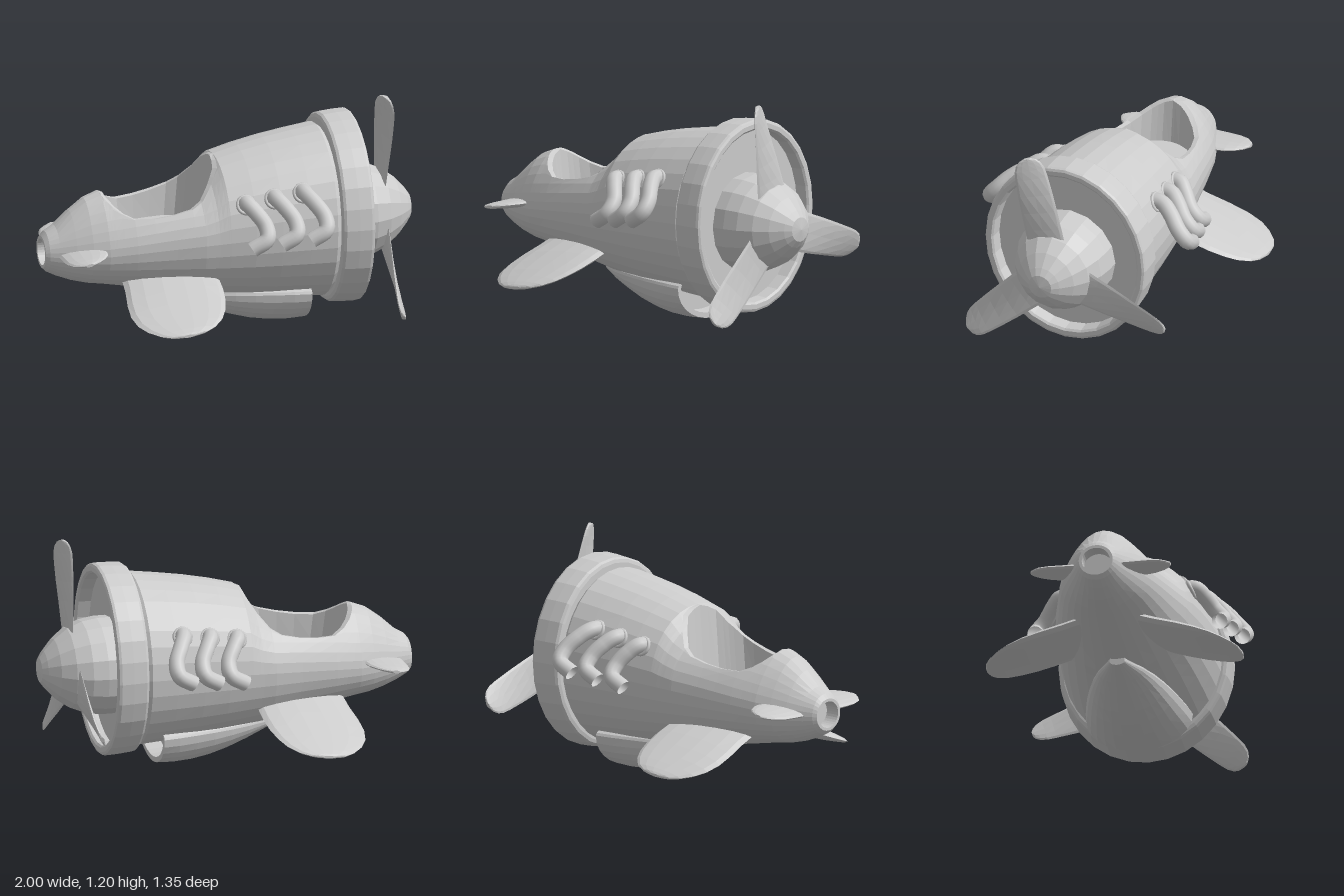
import * as THREE from 'three';

const V = (x, y, z) => new THREE.Vector3(x, y, z);
const flat = new THREE.MeshStandardMaterial({ color: 0xcccccc, flatShading: true, side: THREE.DoubleSide });
const smooth = new THREE.MeshStandardMaterial({ color: 0xcccccc, side: THREE.DoubleSide });

// Linear interpolation in rows of [x, a, b, ...]; returns the remaining columns
function sample(rows, x) {
  let i = 0;
  while (i < rows.length - 2 && x > rows[i + 1][0]) i++;
  const t = THREE.MathUtils.clamp((x - rows[i][0]) / (rows[i + 1][0] - rows[i][0]), 0, 1);
  return rows[i].slice(1).map((v, k) => THREE.MathUtils.lerp(v, rows[i + 1][k + 1], t));
}

// Skin through rings of equal point count, faces turned outward
function loft(rings) {
  const n = rings[0].length, pos = [], index = [];
  rings.forEach(r => r.forEach(p => pos.push(p.x, p.y, p.z)));
  for (let i = 0; i < rings.length - 1; i++) for (let j = 0; j < n - 1; j++) {
    const a = i * n + j, b = a + n;
    index.push(a, b, a + 1, a + 1, b, b + 1);
  }
  const pts = rings.flat();
  const mid = pts.reduce((s, p) => s.add(p), V(0, 0, 0)).divideScalar(pts.length);
  let volume = 0;
  for (let k = 0; k < index.length; k += 3) {
    const [a, b, c] = [0, 1, 2].map(m => pts[index[k + m]].clone().sub(mid));
    volume += a.dot(b.cross(c));
  }
  if (volume < 0) index.reverse();
  const g = new THREE.BufferGeometry();
  g.setAttribute('position', new THREE.Float32BufferAttribute(pos, 3));
  g.setIndex(index);
  g.computeVertexNormals();
  return g;
}

// Ring collapsed to its centre, to close an end
function collapse(ring) {
  const c = ring.reduce((s, p) => s.add(p), V(0, 0, 0)).divideScalar(ring.length);
  return ring.map(() => c.clone());
}
const capped = rings => loft([collapse(rings[0]), ...rings, collapse(rings[rings.length - 1])]);
const around = (n, f) => Array.from({ length: n + 1 }, (_, i) => f(i / n * Math.PI * 2));

function add(parent, name, geometry, material = flat) {
  const m = new THREE.Mesh(geometry, material);
  m.name = name;
  parent.add(m);
  return m;
}

// Lathe turned about the x axis: points are [radius, x]
function turned(points, sides, y, zScale) {
  return new THREE.LatheGeometry(points.map(p => new THREE.Vector2(...p)), sides)
    .rotateZ(-Math.PI / 2).scale(1, 1, zScale).translate(0, y, 0);
}

// Fuselage stations: x, widest height, top, bottom, half width, headrest hump
const HULL = [
  [-1, .465, .55, .38, .09, 0], [-.98, .465, .575, .36, .105, 0], [-.93, .465, .6, .335, .13, .005],
  [-.85, .47, .63, .305, .17, .05], [-.77, .475, .66, .285, .205, .08], [-.69, .48, .685, .275, .235, .085],
  [-.55, .495, .715, .25, .27, .08], [-.35, .515, .775, .215, .312, 0], [-.2, .53, .805, .185, .345, 0],
  [-.13, .535, .853, .174, .355, 0], [-.07, .54, .92, .165, .365, 0], [.06, .55, .955, .147, .385, 0],
  [.2, .56, .985, .13, .4, 0], [.35, .565, 1.01, .12, .412, 0], [.49, .57, 1.03, .11, .42, 0]];
// Height of the cockpit edge along x
const EDGE = [[-.69, .77], [-.682, .752], [-.65, .717], [-.61, .687], [-.55, .662], [-.45, .665], [-.35, .68],
  [-.25, .705], [-.19, .74], [-.13, .81], [-.085, .88], [-.07, .92]];
const COCKPIT_X = [-.69, -.688, -.682, -.668, -.65, -.61, -.55, -.45, -.35, -.25, -.19, -.15, -.13, -.11, -.085,
  -.075, -.07];

function hullPoint(x, a, k = 1) {
  const [cy, top, bottom, rz, hump] = sample(HULL, x), c = Math.cos(a);
  const dy = c > 0 ? (top - cy) * c + hump * c ** 3 : (cy - bottom) * c;
  return V(x, cy + dy * k, rz * Math.sin(a) * k);
}

// Angle from the top at which the hull meets the cockpit edge
function edgeAngle(x) {
  if (x <= -.69 || x >= -.07) return 0;
  const y = sample(EDGE, x)[0];
  let lo = 0, hi = Math.PI / 2;
  for (let i = 0; i < 30; i++) {
    const m = (lo + hi) / 2;
    if (hullPoint(x, m).y > y) lo = m; else hi = m;
  }
  return lo;
}

// Ring open at the top wherever the cockpit is cut out
function hullRing(x, k = 1) {
  const a0 = edgeAngle(x);
  return around(32, t => hullPoint(x, THREE.MathUtils.clamp(t, a0, Math.PI * 2 - a0), k));
}

function fuselage() {
  const xs = [...new Set([...HULL.map(r => r[0]), ...COCKPIT_X])].sort((a, b) => a - b);
  const bore = hullRing(-1, .82), deep = bore.map(p => V(-.92, p.y, p.z));
  const nose = hullRing(.49, .96).map(p => V(.515, p.y, p.z));
  return capped([deep, bore, ...xs.map(x => hullRing(x)), nose]);
}

// Cockpit rim, walls and floor
function cockpit() {
  return loft(COCKPIT_X.map(x => {
    const p = hullPoint(x, edgeAngle(x)), along = k => -.38 + (x + .38) * k, z = Math.max(0, p.z - .022);
    const half = [p, V(along(.94), p.y - .004, z), V(along(.85), .53, z)];
    return [...half, ...half.map(q => V(q.x, q.y, -q.z)).reverse()];
  }));
}

// Lens-section surface reaching sideways; rows: z, rear x, front x, y, half thickness
function fin(rows, side, tilt) {
  return capped(rows.map(([z, rear, front, y, t]) => around(14, a => {
    const c = Math.cos(a), h = (front - rear) / 2;
    return V((front + rear) / 2 + h * c, y + t * Math.sin(a) + tilt * h * c, side * z);
  })));
}
const WING = [[.1, -.6, -.12, .36, .05], [.25, -.615, -.115, .308, .047], [.36, -.635, -.118, .27, .043],
  [.45, -.642, -.13, .238, .037], [.53, -.627, -.155, .21, .03], [.59, -.59, -.188, .189, .024],
  [.64, -.535, -.24, .172, .018], [.665, -.485, -.295, .163, .013], [.675, -.42, -.36, .16, .008]];
const TAIL = [[.08, -.94, -.68, .487, .027], [.2, -.94, -.7, .488, .023], [.27, -.937, -.715, .489, .02],
  [.32, -.92, -.745, .49, .016], [.35, -.89, -.78, .49, .012], [.368, -.86, -.82, .49, .008]];

// Belly scoop; rows: x, bottom, half width
function scoop() {
  const ring = (x, bottom, w) => around(28, a => {
    const c = Math.cos(a);
    return V(x, .195 + c * (c > 0 ? .06 : .195 - bottom), w * Math.sin(a));
  });
  return capped([[-.32, .175, .04], [-.2, .128, .12], [-.1, .086, .165], [0, .048, .2], [.1, .02, .228],
    [.2, .004, .25], [.3, 0, .27], [.39, .006, .282], [.39, .034, .257], [.3, .04, .25]].map(r => ring(...r)));
}

// Propeller blade along y, twisting toward the tip; rows: radius, half chord, twist
function blade() {
  return capped([[.17, .108, 0], [.25, .104, .06], [.35, .099, .15], [.45, .093, .26], [.55, .086, .36],
    [.6, .08, .41], [.635, .066, .43], [.657, .045, .44], [.668, .018, .44]].map(([r, w, tw]) =>
    around(12, a => {
      const z = w * Math.cos(a), x = .011 * Math.sin(a);
      return V(.825 + x * Math.cos(tw) + z * Math.sin(tw), r, z * Math.cos(tw) - x * Math.sin(tw));
    })));
}

export function createModel() {
  const model = new THREE.Group();
  model.name = 'toyPlane';
  add(model, 'fuselage', fuselage());
  add(model, 'cockpit', cockpit());
  add(model, 'bellyScoop', scoop());

  // Engine ring with a recessed front plate
  add(model, 'cowling', turned([[0, .512], [.475, .512], [.493, .517], [.502, .53], [.508, .6], [.51, .665],
    [.505, .678], [.492, .684], [.468, .684], [.457, .675], [.452, .61], [0, .61]], 28, .577, .9));
  add(model, 'spinner', turned([[.258, .58], [.258, .68], [.246, .76], [.213, .84], [.16, .91], [.1, .965],
    [.065, .99], [0, 1]], 16, .545, 1));

  // Three-blade propeller
  const propeller = new THREE.Group();
  propeller.name = 'propeller';
  propeller.position.y = .545;
  for (let i = 0; i < 3; i++) {
    add(propeller, 'blade', blade()).rotation.x = THREE.MathUtils.degToRad(13 + 120 * i);
  }
  model.add(propeller);

  for (const s of [1, -1]) {
    add(model, 'wing', fin(WING, s, .1));
    add(model, 'tailplane', fin(TAIL, s, .15));

    // Exhaust pipes, each with a collar on the hull
    for (let i = 0; i < 3; i++) {
      const pipe = new THREE.Group();
      pipe.name = 'exhaustPipe';
      const path = new THREE.CatmullRomCurve3([[.012, .732, .28], [.018, .742, .355], [.052, .706, .4],
        [.09, .645, .448], [.085, .59, .492], [.005, .538, .487]].map(([x, y, z]) =>
        V(x, y, s * (z + .035 * i * Math.min(1, (z - .28) / .15)))));
      add(pipe, 'tube', new THREE.TubeGeometry(path, 28, .042, 12), smooth);
      const collar = add(pipe, 'collar', new THREE.TorusGeometry(.045, .01, 8, 18), smooth);
      collar.position.set(.014, .735, s * (.335 + .012 * i));
      collar.rotation.x = -s * .4;
      pipe.position.set(.15 * i, .023 * i, 0);
      model.add(pipe);
    }
  }
  return model;
}
